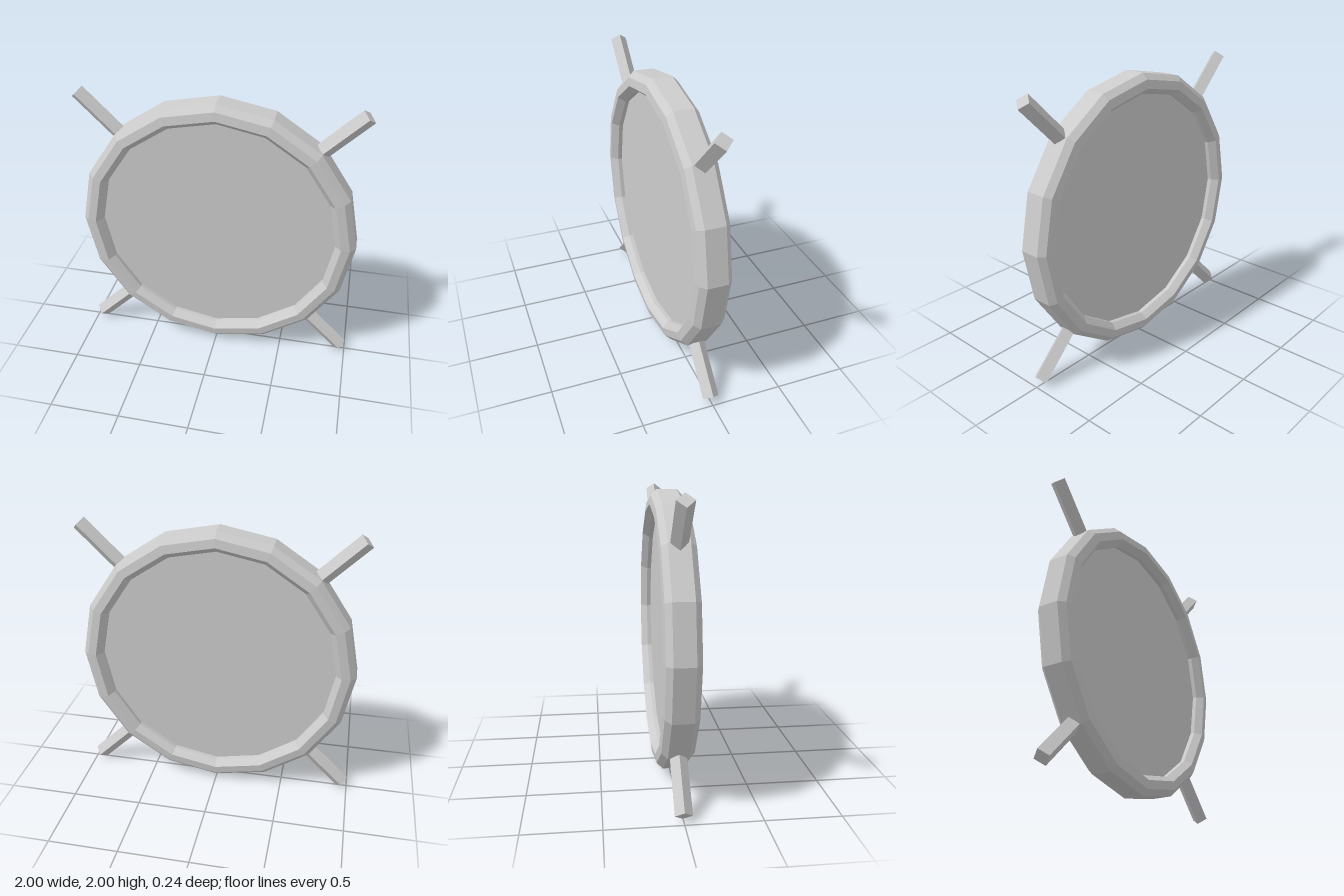
import * as THREE from 'three';

// Hard-edged facets
function faceted(geometry) {
  const g = geometry.toNonIndexed();
  g.computeVertexNormals();
  return g;
}

export function createModel() {
  const model = new THREE.Group();
  model.name = 'roundPanelWithSpokes';
  const grey = new THREE.MeshStandardMaterial({ color: 0xcccccc });
  grey.name = 'grey';

  const add = (name, geometry) => {
    const mesh = new THREE.Mesh(faceted(geometry), grey);
    mesh.name = name;
    mesh.position.y = 1;
    model.add(mesh);
    return mesh;
  };

  // Bevelled 16-sided rim: half profile (radius, depth), mirrored front to back
  const half = [[0.985, 0.07], [0.945, 0.11], [0.885, 0.118], [0.845, 0.07]];
  const profile = [
    ...half,
    ...half.map(([r, z]) => [r, -z]).reverse(),
    half[0],
  ].map(([r, z]) => new THREE.Vector2(r, z));
  add('rim', new THREE.LatheGeometry(profile, 16).rotateX(Math.PI / 2));

  // Recessed disc filling the rim
  add('disc', new THREE.CylinderGeometry(0.85, 0.85, 0.08, 16).rotateX(Math.PI / 2));

  // Four diagonal square spokes, edge-on to the front
  const inner = 0.98, outer = 1.357;
  for (let i = 0; i < 4; i++) {
    const spoke = new THREE.CylinderGeometry(0.057, 0.057, outer - inner, 4);
    spoke.translate(0, (inner + outer) / 2, 0).rotateZ(Math.PI / 4 + i * Math.PI / 2);
    add('spoke' + (i + 1), spoke);
  }
  return model;
}
